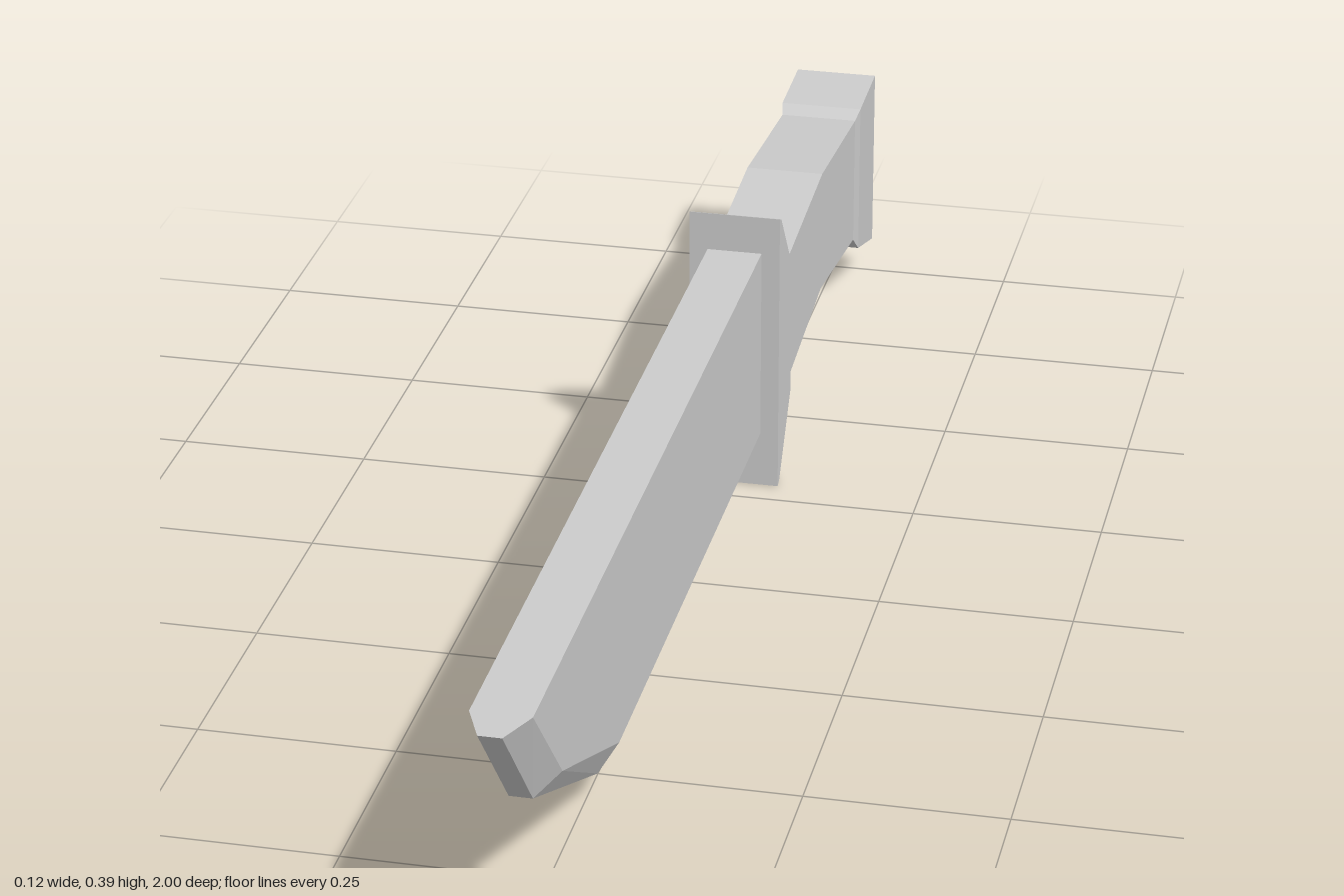
import * as THREE from 'three';
import { ConvexGeometry } from 'three/addons/geometries/ConvexGeometry.js';

// Loft of rectangular sections [z, halfWidth, bottom, top], listed from front to back
function loft(sections) {
  const rings = sections.map(([z, w, b, t]) => [[w, b, z], [w, t, z], [-w, t, z], [-w, b, z]]);
  const pos = [];
  const quad = (a, b, c, d) => pos.push(...a, ...b, ...c, ...a, ...c, ...d);
  for (let s = 0; s < rings.length - 1; s++) {
    const a = rings[s], b = rings[s + 1];
    for (let i = 0; i < 4; i++) {
      const j = (i + 1) % 4;
      quad(a[i], b[i], b[j], a[j]);
    }
  }
  quad(...rings[0]);
  quad(...[...rings[rings.length - 1]].reverse());
  const geo = new THREE.BufferGeometry();
  geo.setAttribute('position', new THREE.Float32BufferAttribute(pos, 3));
  geo.computeVertexNormals();
  return geo;
}

export function createModel() {
  const group = new THREE.Group();
  group.name = 'knife';
  const grey = new THREE.MeshStandardMaterial({ color: 0xcccccc });
  grey.name = 'plain grey';

  const add = (name, geometry) => {
    const mesh = new THREE.Mesh(geometry, grey);
    mesh.name = name;
    group.add(mesh);
  };

  // Blade: flat sides bevelled down to a narrow cutting edge, outlines as [z, y]
  const side = [[-0.295, 0.337], [0.95, 0.331], [0.82, 0.19], [0.54, 0.07], [-0.295, 0.076]];
  const edge = [[1, 0.33], [0.87, 0.18], [0.56, 0.036], [-0.295, 0.046]];
  const points = [];
  for (const s of [1, -1]) {
    side.forEach(([z, y]) => points.push(new THREE.Vector3(s * 0.036, y, z)));
    edge.forEach(([z, y]) => points.push(new THREE.Vector3(s * 0.014, y, z)));
  }
  add('blade', new ConvexGeometry(points));

  // Guard: tall plate tapering back to the grip
  add('guard', loft([
    [-0.29, 0.06, 0, 0.388],
    [-0.3, 0.06, 0.004, 0.384],
    [-0.372, 0.06, 0.103, 0.289],
  ]));

  // Grip arched in the middle, flaring into the pommel
  add('grip', loft([
    [-0.37, 0.052, 0.105, 0.288],
    [-0.625, 0.052, 0.139, 0.31],
    [-0.87, 0.052, 0.105, 0.288],
  ]));
  add('pommel', loft([
    [-0.868, 0.052, 0.105, 0.288],
    [-0.888, 0.056, 0.084, 0.298],
    [-1, 0.056, 0.05, 0.304],
  ]));

  return group;
}
